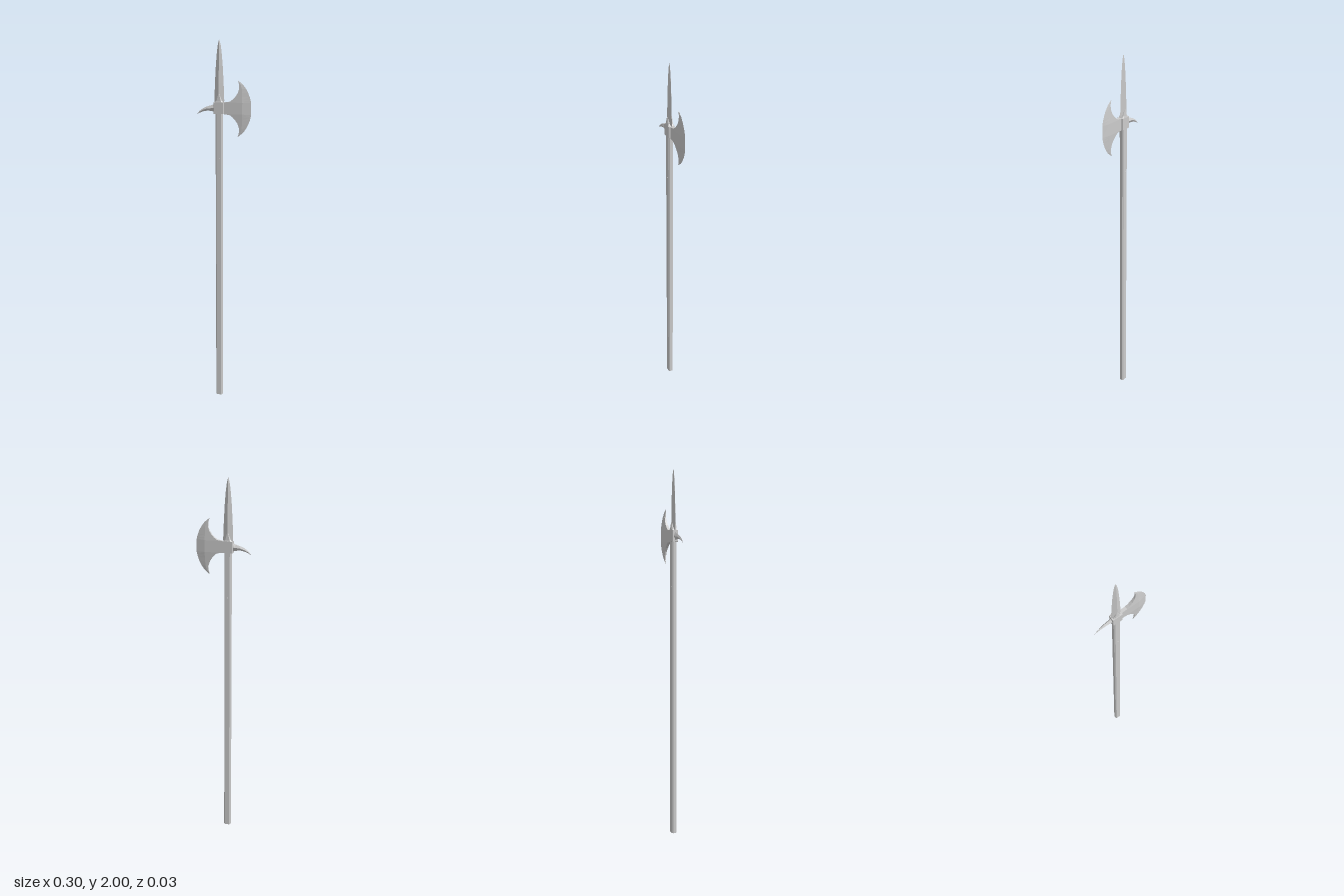
import * as THREE from 'three';

const material = new THREE.MeshStandardMaterial({ color: 0xcccccc, flatShading: true });
const AXIS = -0.026; // x of the pole's centre line
const MID = 1.65; // height of the axe head's centre

// Skin a list of equal-length rings, counter-clockwise seen from the last ring, and cap both ends
function loft(rings) {
  const n = rings[0].length;
  const index = [];
  for (let r = 0; r < rings.length - 1; r++) {
    for (let i = 0; i < n; i++) {
      const a = r * n + i, b = r * n + (i + 1) % n;
      index.push(a, b, b + n, a, b + n, a + n);
    }
  }
  const last = (rings.length - 1) * n;
  for (let i = 1; i < n - 1; i++) {
    index.push(0, i + 1, i, last, last + i, last + i + 1);
  }
  const geometry = new THREE.BufferGeometry();
  geometry.setAttribute('position', new THREE.Float32BufferAttribute(rings.flat(2), 3));
  geometry.setIndex(index);
  geometry.computeVertexNormals();
  return geometry;
}

// Box-like ring with chamfered corners around the pole's axis
function chamferedRing(y, w, d, c) {
  return [[w, d - c], [w, c - d], [w - c, -d], [c - w, -d], [-w, c - d], [-w, d - c], [c - w, d], [w - c, d]]
    .map(([x, z]) => [AXIS + x, y, z]);
}

// Diamond ring around the pole's axis
const diamondRing = (y, w, d) => [[AXIS + w, y, 0], [AXIS, y, -d], [AXIS - w, y, 0], [AXIS, y, d]];

function axeBlade() {
  // Inner outline from the lower horn, around the neck, to the upper horn: [x, y]
  const inner = [
    [0.074, 1.502], [0.081, 1.525], [0.082, 1.547], [0.075, 1.570], [0.062, 1.590], [0.047, 1.606],
    [0.032, 1.617], [0, 1.621], [0, 1.682], [0.032, 1.686], [0.047, 1.697], [0.062, 1.712],
    [0.075, 1.732], [0.082, 1.753], [0.081, 1.775], [0.074, 1.796],
  ];
  return loft(inner.map(([x, y]) => {
    const k = Math.min(1, Math.abs(y - 1.649) / 0.147);
    const edge = Math.max(x + 0.0005, 0.074 + 0.074 * Math.pow(1 - k * k, 0.75));
    const bevel = edge - 0.6 * (edge - Math.max(x, 0.07));
    const t = 0.001 + 0.01 * (1 - k);
    return [[edge, y, 0], [bevel, y, -t], [x, y, -t], [x, y, t], [bevel, y, t]];
  }));
}

function backBeak() {
  // Stations from the socket to the drooping tip: [x, lower y, upper y, half thickness]
  const stations = [
    [-0.045, 1.628, 1.678, 0.011], [-0.065, 1.634, 1.667, 0.009], [-0.09, 1.637, 1.660, 0.007],
    [-0.115, 1.632, 1.649, 0.0045], [-0.135, 1.624, 1.634, 0.002], [-0.15, 1.616, 1.617, 0.0003],
  ];
  return loft(stations.map(([x, lo, hi, t]) => {
    const y = (lo + hi) / 2;
    return [[x, y, t], [x, hi, 0], [x, y, -t], [x, lo, 0]];
  }));
}

export function createModel() {
  const model = new THREE.Group();
  const add = (name, geometry) => {
    const mesh = new THREE.Mesh(geometry, material);
    mesh.name = name;
    model.add(mesh);
    return mesh;
  };

  // Long pole with chamfered corners
  add('pole', loft([0, 1.66].map((y) => chamferedRing(y, 0.0185, 0.0135, 0.006))));

  // Socket block holding the head, with a tapered collar on top
  add('socket', loft([1.622, 1.682].map((y) => chamferedRing(y, 0.0275, 0.017, 0.003))));
  add('collar', loft([
    chamferedRing(1.68, 0.023, 0.0165, 0.005),
    chamferedRing(1.69, 0.016, 0.0145, 0.005),
    chamferedRing(1.725, 0.003, 0.0125, 0.001),
  ]));

  // Tall spear point with a diamond section: [y, half width, half depth]
  add('spearPoint', loft([
    [1.675, 0.025, 0.012], [1.69, 0.027, 0.0125], [1.78, 0.0235, 0.0115], [1.87, 0.0185, 0.0095],
    [1.93, 0.0135, 0.007], [1.97, 0.0085, 0.0045], [1.99, 0.004, 0.002], [2, 0.0005, 0.0005],
  ].map(([y, w, d]) => diamondRing(y, w, d))));

  add('axeBlade', axeBlade());
  add('backBeak', backBeak());

  // Small rivets on the front and back of the pole
  for (const side of [1, -1]) {
    const rivet = add(side > 0 ? 'frontRivet' : 'backRivet', new THREE.CylinderGeometry(0.003, 0.004, 0.003, 8));
    rivet.rotation.x = side * Math.PI / 2;
    rivet.position.set(AXIS, 1.383, side * 0.0143);
  }

  return model;
}
